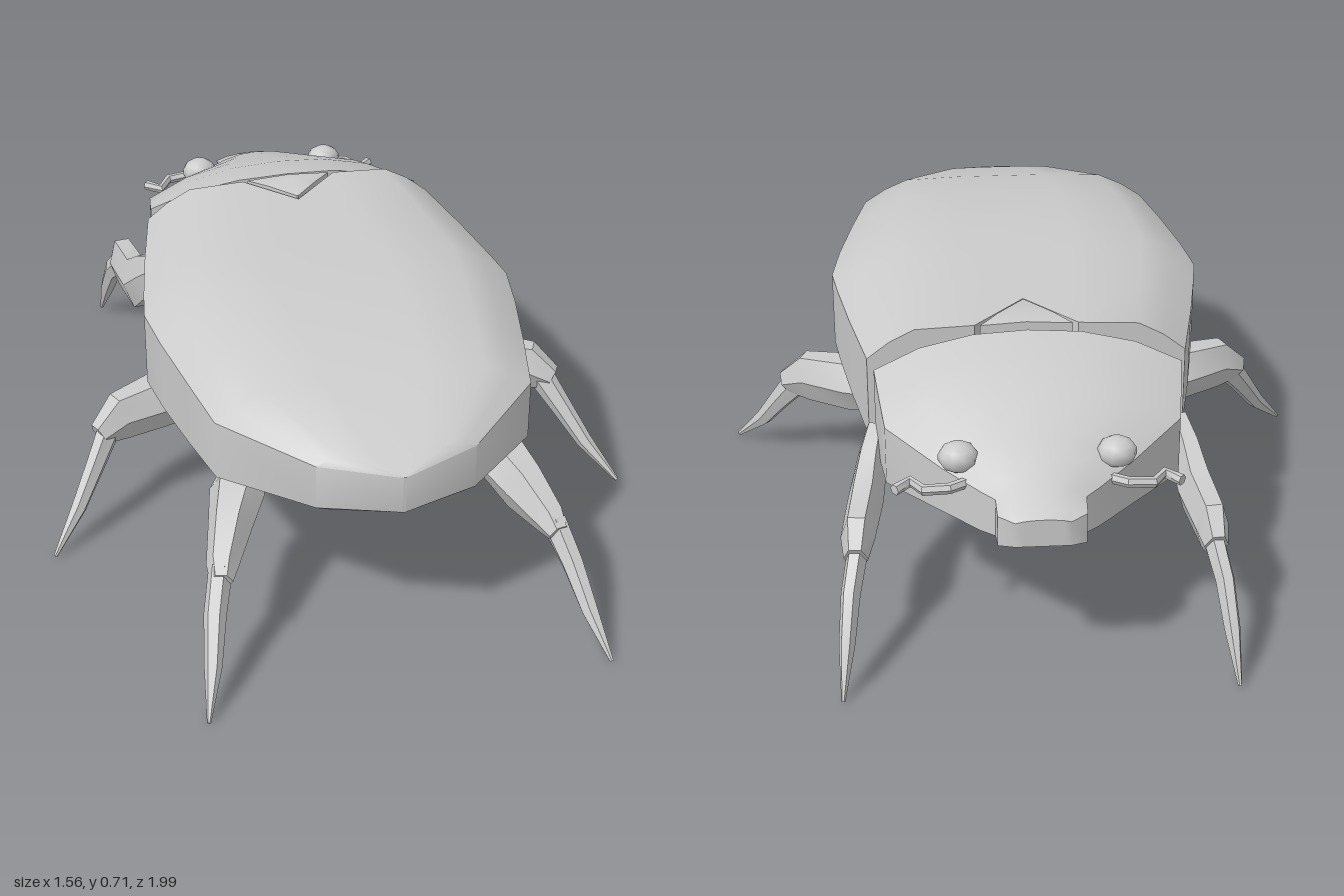
import * as THREE from 'three';
import { toCreasedNormals } from 'three/addons/utils/BufferGeometryUtils.js';

const material = new THREE.MeshStandardMaterial({ color: 0xcccccc });

// Skin a list of equal, even-sized rings and close both ends.
function skin(rings, crease) {
  const pos = [];
  const tri = (a, b, c) => pos.push(...a, ...b, ...c);
  const n = rings[0].length;
  for (let i = 0; i < rings.length - 1; i++) {
    const p = rings[i], q = rings[i + 1];
    for (let k = 0; k < n; k++) {
      const m = (k + 1) % n;
      tri(p[k], q[k], p[m]);
      tri(p[m], q[k], q[m]);
    }
  }
  const first = rings[0], last = rings[rings.length - 1];
  for (let k = 0; k < n / 2 - 1; k++) {
    const a = k, b = k + 1, c = n - 2 - k, d = n - 1 - k;
    tri(first[a], first[b], first[d]);
    tri(first[b], first[c], first[d]);
    tri(last[a], last[d], last[b]);
    tri(last[b], last[d], last[c]);
  }
  const geo = new THREE.BufferGeometry();
  geo.setAttribute('position', new THREE.Float32BufferAttribute(pos, 3));
  return toCreasedNormals(geo, crease);
}

// Shell from stations [z, halfWidth, top, upperRim, lowerRim, bottom];
// shoulder is how far the height has dropped at each fraction of the width.
function shell(stations, fractions, drops, shift = () => 0) {
  const us = [...fractions.slice(1).reverse().map(u => -u), ...fractions];
  const ds = [...drops.slice(1).reverse(), ...drops];
  const rings = stations.map(([z, w, top, rimT, rimB, bottom], i) => {
    const row = (mid, rim) => us.map((u, k) =>
      [u * w, mid + (rim - mid) * ds[k], z + shift(i, Math.abs(u))]);
    return [...row(top, rimT), ...row(bottom, rimB).reverse()];
  });
  return skin(rings, 0.72);
}

// Six-sided limb through points [x, y, z, halfHeight, halfWidth].
function limb(points, side) {
  const at = points.map(p => new THREE.Vector3(p[0] * side, p[1], p[2]));
  const rings = at.map((c, i) => {
    const t = at[Math.min(i + 1, at.length - 1)].clone().sub(at[Math.max(i - 1, 0)]).normalize();
    const s = new THREE.Vector3(0, 1, 0).cross(t).normalize();
    const up = t.clone().cross(s);
    return Array.from({ length: 6 }, (_, k) => {
      const a = k * Math.PI / 3;
      return c.clone()
        .addScaledVector(s, -Math.cos(a) * points[i][4])
        .addScaledVector(up, Math.sin(a) * points[i][3] * 1.15).toArray();
    });
  });
  return skin(rings, 0.6);
}

export function createModel() {
  const model = new THREE.Group();
  model.name = 'beetle';
  const add = (name, geo, parent = model) => {
    const mesh = new THREE.Mesh(geo, material);
    mesh.name = name;
    parent.add(mesh);
    return mesh;
  };

  // Abdomen with a V notch in its leading edge
  add('abdomen', shell([
    [-0.41, 0.397, 0.695, 0.61, 0.385, 0.30],
    [-0.20, 0.44, 0.695, 0.605, 0.388, 0.30],
    [-0.02, 0.472, 0.695, 0.60, 0.392, 0.30],
    [0.08, 0.487, 0.695, 0.597, 0.395, 0.30],
    [0.22, 0.468, 0.692, 0.593, 0.40, 0.30],
    [0.40, 0.434, 0.677, 0.586, 0.407, 0.33],
    [0.58, 0.397, 0.648, 0.575, 0.417, 0.375],
    [0.79, 0.196, 0.582, 0.558, 0.44, 0.424],
    [0.868, 0.004, 0.55, 0.549, 0.451, 0.45],
  ], [0, 0.325, 0.7, 0.86, 1], [0, 0, 0.08, 0.48, 1],
  (i, u) => i === 0 && u === 0 ? 0.135 : 0));

  // Wedge plate filling the notch
  add('scutellum', shell([
    [-0.412, 0.115, 0.702, 0.695, 0.30, 0.292],
    [-0.36, 0.069, 0.712, 0.70, 0.295, 0.283],
    [-0.287, 0.002, 0.70, 0.699, 0.296, 0.295],
  ], [0, 1], [0, 1]));

  // Head and thorax shield with a bowed rear edge
  add('headShield', shell([
    [-0.98, 0.065, 0.492, 0.485, 0.42, 0.42],
    [-0.955, 0.104, 0.508, 0.49, 0.41, 0.41],
    [-0.90, 0.106, 0.535, 0.50, 0.40, 0.40],
    [-0.87, 0.14, 0.55, 0.505, 0.397, 0.397],
    [-0.78, 0.225, 0.587, 0.515, 0.395, 0.395],
    [-0.645, 0.357, 0.64, 0.55, 0.395, 0.395],
    [-0.55, 0.37, 0.675, 0.585, 0.395, 0.395],
    [-0.435, 0.38, 0.692, 0.61, 0.395, 0.395],
  ], [0, 0.35, 0.7, 1], [0, 0.08, 0.4, 1],
  (i, u) => i === 7 ? -0.032 * u * u : 0));

  // Thigh and shin paths for each leg
  const legs = {
    frontLeg: [
      [[0.375, 0.425, -0.445, 0.045, 0.03], [0.39, 0.38, -0.505, 0.06, 0.038],
        [0.41, 0.31, -0.59, 0.072, 0.045], [0.43, 0.30, -0.74, 0.068, 0.042],
        [0.435, 0.275, -0.79, 0.04, 0.03]],
      [[0.43, 0.285, -0.765, 0.035, 0.026], [0.45, 0.215, -0.85, 0.028, 0.024],
        [0.462, 0.12, -0.92, 0.022, 0.02], [0.475, 0.005, -0.993, 0.005, 0.005]],
    ],
    middleLeg: [
      [[0.27, 0.335, -0.035, 0.035, 0.05], [0.33, 0.305, -0.01, 0.065, 0.075],
        [0.45, 0.30, 0.025, 0.07, 0.065], [0.565, 0.295, 0.075, 0.064, 0.045],
        [0.625, 0.265, 0.105, 0.03, 0.03]],
      [[0.595, 0.27, 0.09, 0.035, 0.028], [0.645, 0.19, 0.14, 0.027, 0.024],
        [0.70, 0.10, 0.19, 0.02, 0.02], [0.777, 0.005, 0.262, 0.005, 0.005]],
    ],
    rearLeg: [
      [[0.31, 0.375, 0.485, 0.035, 0.05], [0.34, 0.34, 0.545, 0.065, 0.07],
        [0.375, 0.30, 0.63, 0.068, 0.055], [0.415, 0.265, 0.735, 0.042, 0.04],
        [0.425, 0.25, 0.775, 0.025, 0.028]],
      [[0.42, 0.265, 0.74, 0.035, 0.03], [0.45, 0.185, 0.815, 0.027, 0.028],
        [0.473, 0.095, 0.90, 0.02, 0.022], [0.503, 0.005, 0.993, 0.005, 0.005]],
    ],
  };
  const feeler = [
    [0.15, 0.50, -0.81, 0.012, 0.012], [0.21, 0.505, -0.852, 0.012, 0.012],
    [0.27, 0.50, -0.848, 0.012, 0.012], [0.30, 0.495, -0.80, 0.012, 0.013],
    [0.338, 0.495, -0.835, 0.012, 0.014],
  ];

  for (const [side, label] of [[1, 'Left'], [-1, 'Right']]) {
    for (const [name, [thigh, shin]] of Object.entries(legs)) {
      const leg = new THREE.Group();
      leg.name = name + label;
      add('thigh', limb(thigh, side), leg);
      add('shin', limb(shin, side), leg);
      model.add(leg);
    }
    add('antenna' + label, limb(feeler, side));
    const eye = add('eye' + label, new THREE.SphereGeometry(0.045, 10, 7));
    eye.scale.set(1.08, 0.85, 0.95);
    eye.position.set(side * 0.187, 0.55, -0.785);
  }
  return model;
}
